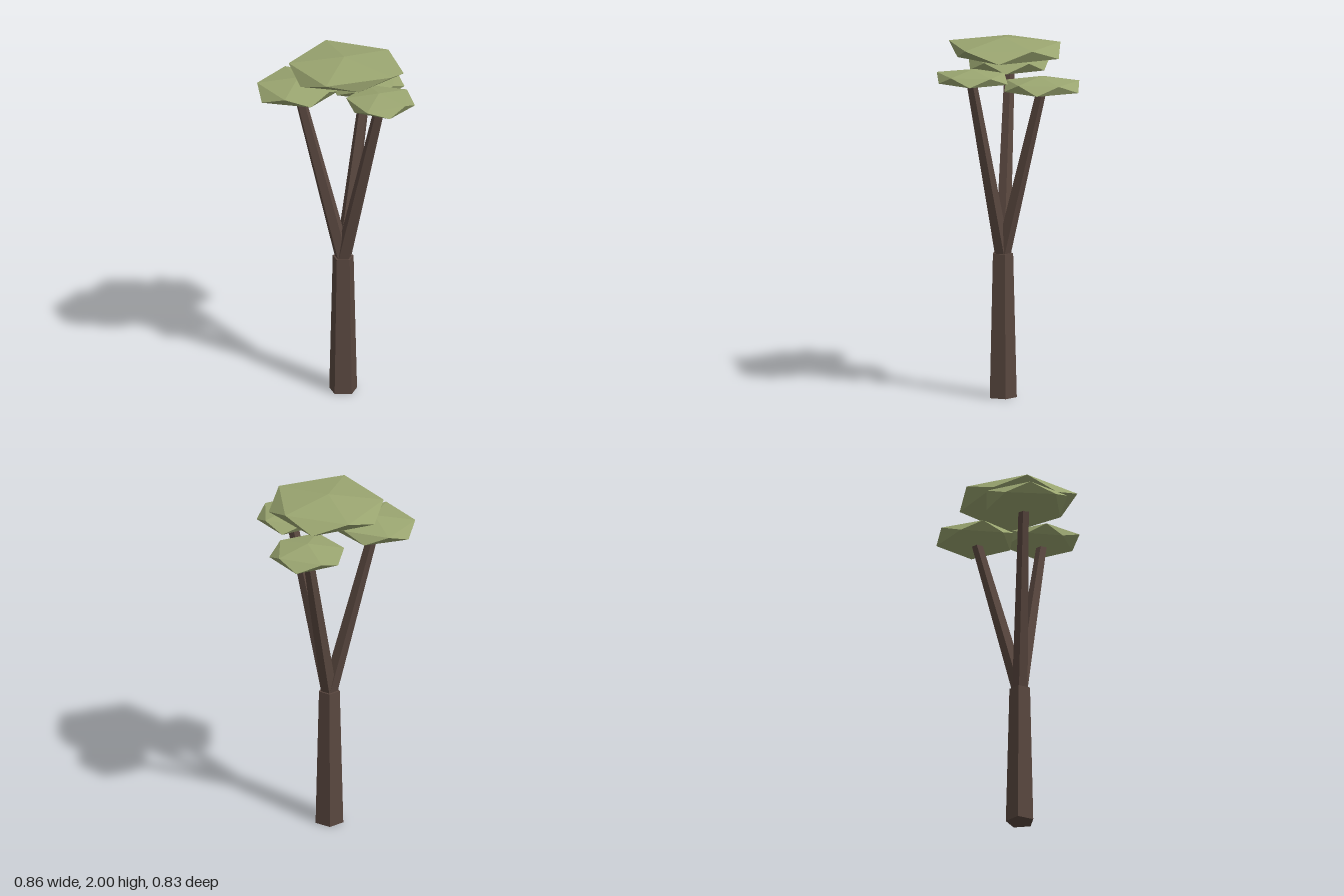
import * as THREE from 'three';

const bark = new THREE.MeshStandardMaterial({ color: 0x59473f });
bark.name = 'bark';
const foliage = new THREE.MeshStandardMaterial({ color: 0x9aa570 });
foliage.name = 'foliage';

// Faceted look: every face gets its own normal
function faceted(geometry) {
  const flat = geometry.index ? geometry.toNonIndexed() : geometry;
  flat.computeVertexNormals();
  return flat;
}

// Tapered five-sided limb between two points
function limb(name, from, to, r0, r1) {
  const a = new THREE.Vector3(...from);
  const dir = new THREE.Vector3(...to).sub(a);
  const length = dir.length();
  const geometry = new THREE.CylinderGeometry(r1, r0, length, 5);
  geometry.translate(0, length / 2, 0);
  const mesh = new THREE.Mesh(faceted(geometry), bark);
  mesh.name = name;
  mesh.position.copy(a);
  mesh.quaternion.setFromUnitVectors(new THREE.Vector3(0, 1, 0), dir.normalize());
  return mesh;
}

// Flattened, slightly irregular icosahedron: two poles and two staggered rings of five
function leafPad(name, center, half, upperRadii, lowerRadii) {
  const ring = (radii, y, offset) => radii.map((r, i) => {
    const t = (i * 72 + offset) * Math.PI / 180;
    return new THREE.Vector3(r * Math.cos(t), y, r * Math.sin(t));
  });
  const up = ring(upperRadii, half * 0.447, 0);
  const low = ring(lowerRadii, -half * 0.447, 36);
  const top = new THREE.Vector3(0, half, 0);
  const bottom = new THREE.Vector3(0, -half, 0);
  const points = [];
  for (let i = 0; i < 5; i++) {
    const j = (i + 1) % 5;
    points.push(top, up[j], up[i]);
    points.push(up[i], up[j], low[i]);
    points.push(low[i], up[j], low[j]);
    points.push(bottom, low[i], low[j]);
  }
  const geometry = new THREE.BufferGeometry().setFromPoints(points);
  const mesh = new THREE.Mesh(faceted(geometry), foliage);
  mesh.name = name;
  mesh.position.set(...center);
  return mesh;
}

export function createModel() {
  const tree = new THREE.Group();
  tree.name = 'tree';

  // Trunk and its three branches
  tree.add(limb('trunk', [0.005, 0, 0.05], [0.005, 0.8, 0.05], 0.08, 0.06));
  const fork = [0.005, 0.79, 0.05];
  tree.add(limb('rightBranch', fork, [-0.205, 1.79, 0.18], 0.045, 0.03));
  tree.add(limb('leftBranch', fork, [0.26, 1.78, 0.055], 0.045, 0.03));
  tree.add(limb('backBranch', fork, [-0.025, 1.73, -0.205], 0.045, 0.03));

  // Crown and one leaf pad on each branch
  tree.add(leafPad('crown', [0.005, 1.93, 0.04], 0.07,
    [0.325, 0.326, 0.304, 0.32, 0.3], [0.26, 0.297, 0.305, 0.327, 0.326]));
  tree.add(leafPad('rightLeafPad', [-0.205, 1.812, 0.18], 0.06,
    [0.21, 0.242, 0.225, 0.229, 0.21], [0.22, 0.247, 0.225, 0.208, 0.215]));
  tree.add(leafPad('leftLeafPad', [0.25, 1.8, 0.055], 0.05,
    [0.18, 0.212, 0.18, 0.18, 0.19], [0.19, 0.165, 0.17, 0.21, 0.197]));
  tree.add(leafPad('backLeafPad', [-0.02, 1.75, -0.2], 0.054,
    [0.18, 0.2, 0.2, 0.222, 0.2], [0.2, 0.2, 0.2, 0.228, 0.21]));

  return tree;
}
